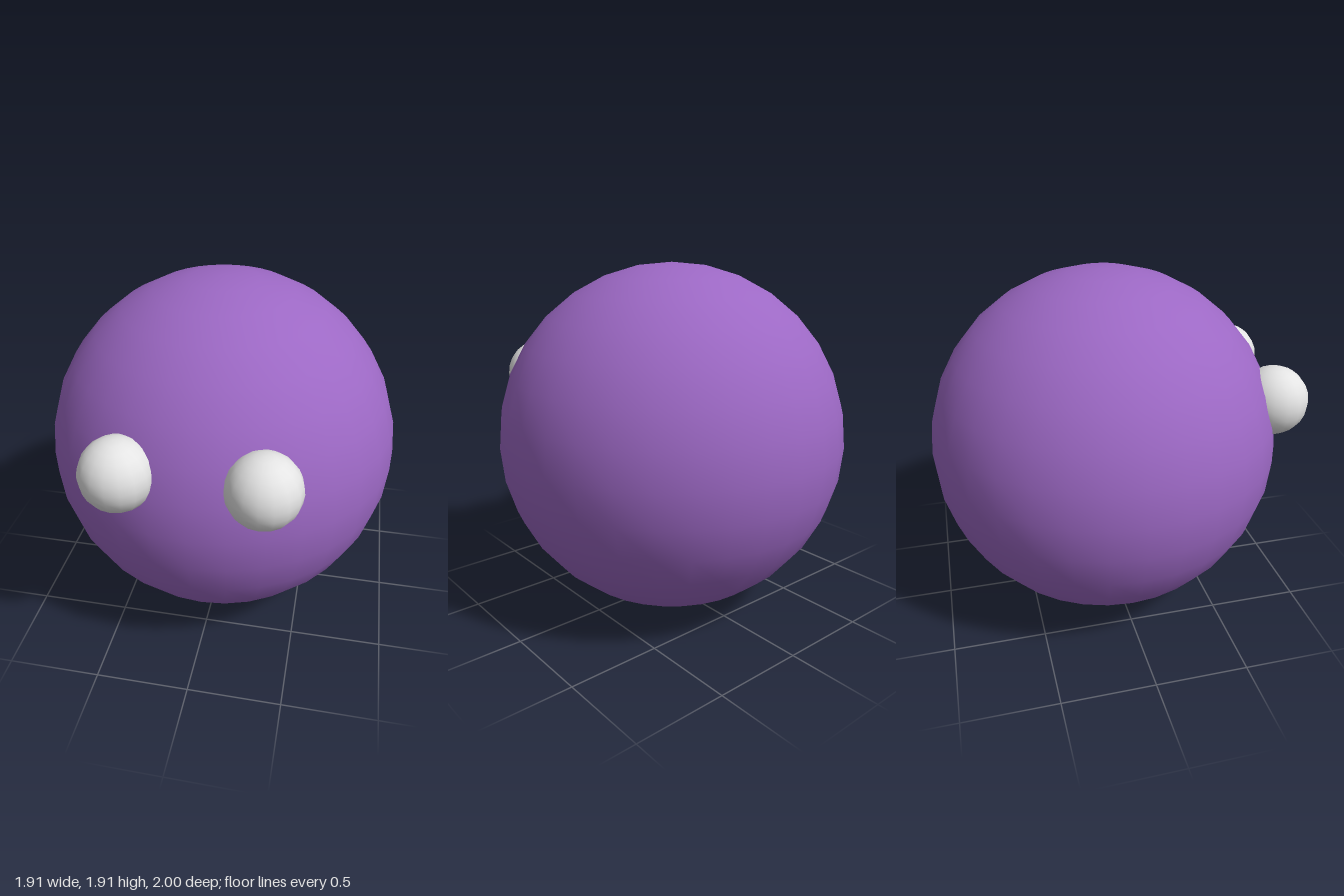
import * as THREE from 'three';

export function createModel() {
  const model = new THREE.Group();
  const purple = new THREE.MeshStandardMaterial({ color: 0x9c68c4 });
  purple.name = 'purple';
  const paleGrey = new THREE.MeshStandardMaterial({ color: 0xe4e4e4 });
  paleGrey.name = 'paleGrey';

  // Round body
  const body = new THREE.Mesh(new THREE.SphereGeometry(0.957, 32, 16), purple);
  body.name = 'body';
  body.position.set(0, 0.957, -0.043);
  model.add(body);

  // Mirrored eyes, half sunk into the front of the body
  const eyeGeometry = new THREE.SphereGeometry(0.186, 16, 12);
  for (const side of [1, -1]) {
    const eye = new THREE.Mesh(eyeGeometry, paleGrey);
    eye.name = side > 0 ? 'leftEye' : 'rightEye';
    eye.position.set(side * 0.346, 1.238, 0.814);
    model.add(eye);
  }
  return model;
}
